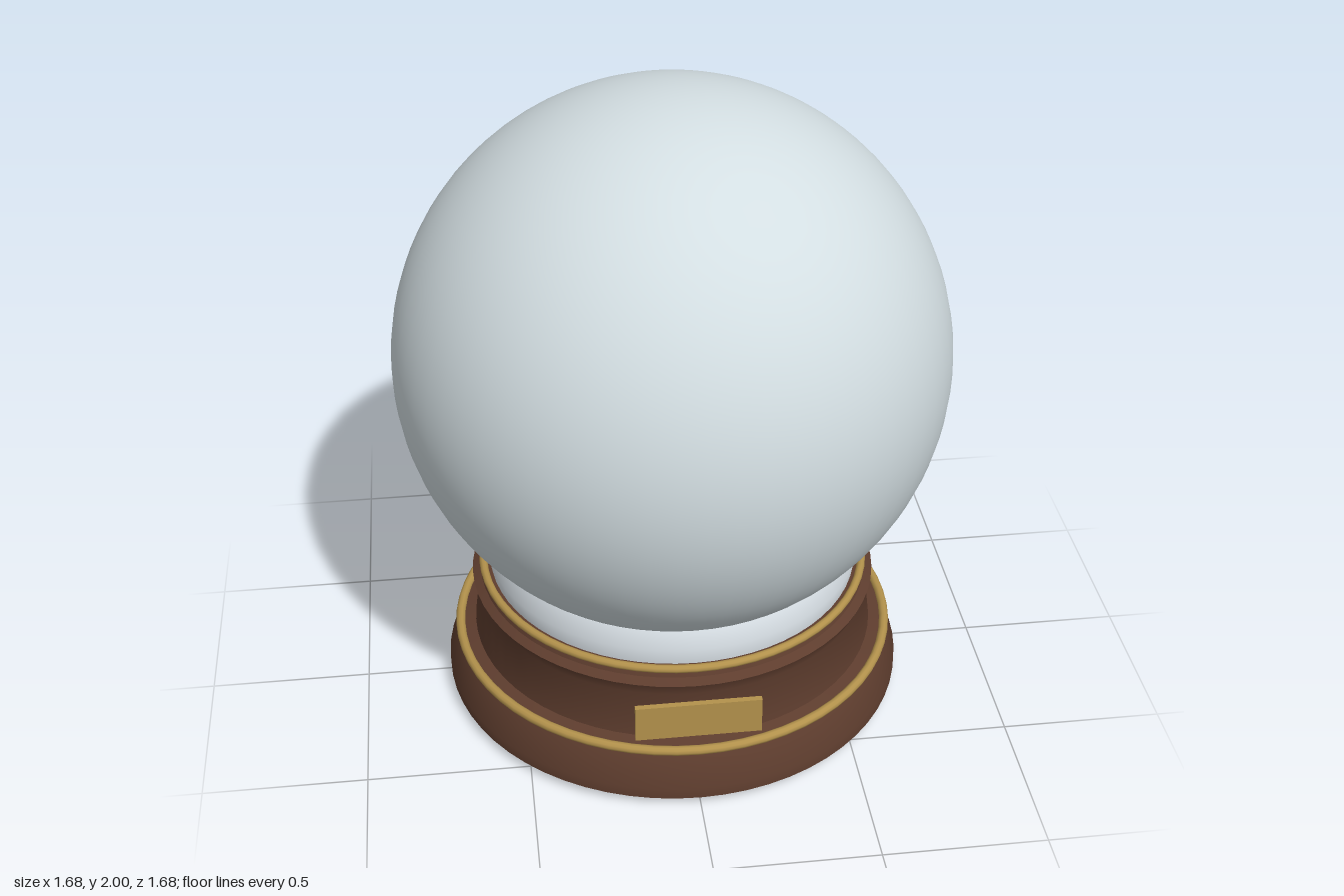
import * as THREE from 'three';
import { toCreasedNormals } from 'three/addons/utils/BufferGeometryUtils.js';

const SEGMENTS = 64;

function material(name, color) {
  const m = new THREE.MeshStandardMaterial({ color });
  m.name = name;
  return m;
}

export function createModel() {
  const group = new THREE.Group();
  const glass = material('pale glass', 0xd3dee2);
  const snow = material('frosted white', 0xe6eef4);
  const wood = material('brown wood', 0x5e3d2e);
  const brass = material('brass', 0xb3924c);

  function add(name, geometry, mat, x = 0, y = 0, z = 0) {
    const mesh = new THREE.Mesh(geometry, mat);
    mesh.name = name;
    mesh.position.set(x, y, z);
    group.add(mesh);
    return mesh;
  }

  // Turned part from [radius, height] pairs, bottom to top
  function turned(name, profile, mat) {
    const points = profile.map(([r, y]) => new THREE.Vector2(r, y));
    return add(name, toCreasedNormals(new THREE.LatheGeometry(points, SEGMENTS), 0.6), mat);
  }

  function ring(name, radius, tube, y) {
    const geometry = new THREE.TorusGeometry(radius, tube, 10, SEGMENTS).rotateX(Math.PI / 2);
    return add(name, geometry, brass, 0, y, 0);
  }

  // Wooden base with a rounded foot, flared waist and top lip
  turned('base', [
    [0, 0], [0.69, 0], [0.73, 0.03], [0.73, 0.065], [0.69, 0.17], [0.68, 0.185],
    [0.64, 0.195], [0.62, 0.345], [0.64, 0.39], [0.615, 0.405], [0.605, 0.43], [0, 0.43],
  ], wood);

  // Brass trim
  ring('lowerTrim', 0.69, 0.015, 0.185);
  ring('upperTrim', 0.605, 0.013, 0.43);

  // Collar holding the globe
  turned('collar', [
    [0, 0.42], [0.58, 0.42], [0.59, 0.485], [0.568, 0.54], [0.55, 0.54],
  ], snow);

  // Glass globe
  add('globe', new THREE.SphereGeometry(0.84, SEGMENTS, 48), glass, 0, 1.16, 0);

  // Blank plaque on the front
  add('plaque', new THREE.BoxGeometry(0.38, 0.12, 0.018), brass, 0, 0.28, 0.657);

  return group;
}
